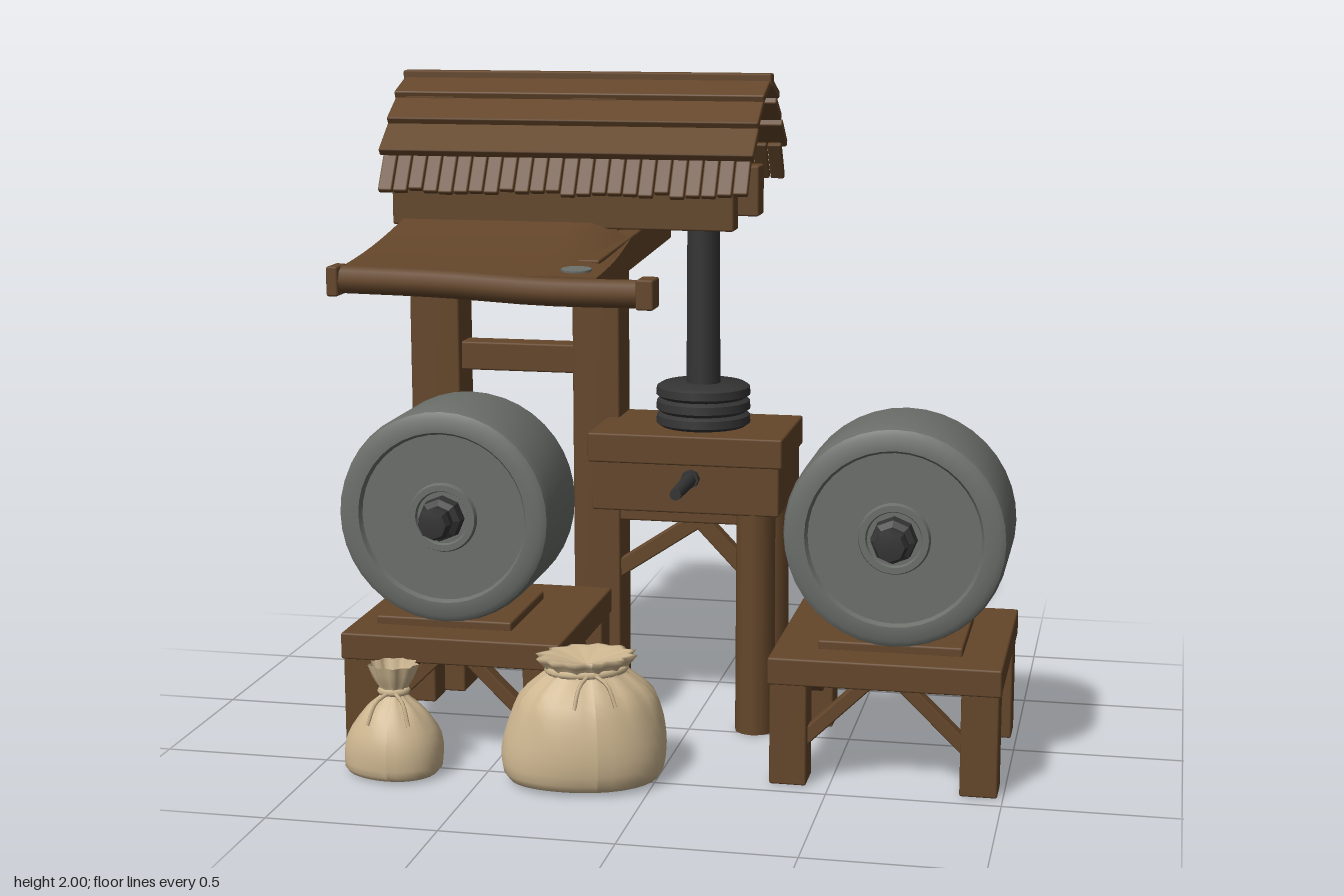
import * as THREE from 'three';
import { toCreasedNormals } from 'three/addons/utils/BufferGeometryUtils.js';
import { RoundedBoxGeometry } from 'three/addons/geometries/RoundedBoxGeometry.js';

const material = (name, color, extra = {}) => {
  const m = new THREE.MeshStandardMaterial({ color, ...extra });
  m.name = name;
  return m;
};
const V = (x, y, z) => new THREE.Vector3(x, y, z);

export function createModel() {
  const wood = material('brown wood', 0x64462a);
  const stone = material('grey stone', 0x6b6f6a);
  const iron = material('dark iron', 0x343435);
  const sackcloth = material('sackcloth', 0xcdb690, { side: THREE.DoubleSide });
  const model = new THREE.Group();
  model.name = 'mill';

  let seed = 7;
  const rand = () => (seed = (seed * 16807) % 2147483647) / 2147483647;

  const add = (parent, name, geo, mat, x = 0, y = 0, z = 0) => {
    const m = new THREE.Mesh(geo, mat);
    m.name = name;
    m.position.set(x, y, z);
    parent.add(m);
    return m;
  };
  // Box from its extents, with softly worn edges
  const block = (parent, name, [x0, x1], [y0, y1], [z0, z1], mat = wood) =>
    add(parent, name, new RoundedBoxGeometry(x1 - x0, y1 - y0, z1 - z0, 1, 0.006), mat,
      (x0 + x1) / 2, (y0 + y1) / 2, (z0 + z1) / 2);
  // Squared timber running from a to b
  const bar = (parent, name, a, b, w, h, mat = wood) => {
    const mid = a.clone().add(b).multiplyScalar(0.5);
    const m = add(parent, name, new RoundedBoxGeometry(w, h, a.distanceTo(b), 1, 0.005), mat, mid.x, mid.y, mid.z);
    m.lookAt(b);
    return m;
  };
  const lathe = (pts, seg, crease = 0.6) =>
    toCreasedNormals(new THREE.LatheGeometry(pts.map(p => new THREE.Vector2(...p)), seg), crease);

  // ---- Frame: posts, rafters, purlins, canopy arms ----
  const frame = new THREE.Group();
  frame.name = 'frame';
  model.add(frame);
  for (const [x0, x1] of [[-0.95, -0.79], [-0.42, -0.27]]) {
    block(frame, 'post', [x0, x1], [0, 1.93], [-0.38, -0.23]);
    const xm = (x0 + x1) / 2;
    for (const s of [-1, 1])
      bar(frame, 'rafter', V(xm, 1.87, -0.36 + s * 0.01), V(xm, 1.68, -0.36 + s * 0.25), 0.11, 0.12);
    bar(frame, 'canopyArm', V(x1 + 0.035, 1.495, -0.69), V(x1 + 0.035, 1.445, 0.31), 0.07, 0.1);
  }
  block(frame, 'crossBeam', [-0.8, -0.41], [1.06, 1.15], [-0.35, -0.26]);
  block(frame, 'frontPurlin', [-0.95, 0.12], [1.54, 1.7], [-0.16, -0.08]);
  block(frame, 'backPurlin', [-0.95, 0.12], [1.54, 1.7], [-0.62, -0.52]);

  // ---- Roof: overlapping board courses, with short shingles at the eaves ----
  const roof = new THREE.Group();
  roof.name = 'roof';
  model.add(roof);
  const slope = [[0, 1.985], [0.115, 1.925], [0.2, 1.85], [0.285, 1.76], [0.345, 1.65]];
  for (const s of [-1, 1]) {
    for (let i = 0; i < 3; i++) {
      const [d0, y0] = slope[i], [d1, y1] = slope[i + 1];
      bar(roof, 'roofBoard', V(-0.4, y0 - 0.012, -0.36 + s * d0),
        V(-0.4, y1 + 0.002, -0.36 + s * (d1 + 0.015)), 1.18 - rand() * 0.015, 0.026);
    }
    const [d0, y0] = slope[3], [d1, y1] = slope[4];
    const n = 24, step = 1.15 / n;
    for (let i = 0; i < n; i++) {
      const x = -0.975 + step * (i + 0.5), drop = rand() * 0.014;
      bar(roof, 'shingle', V(x, y0 + 0.005, -0.36 + s * (d0 - 0.015)),
        V(x, y1 - 0.008 + drop, -0.36 + s * (d1 - drop * 0.5)), step - 0.003, 0.022);
    }
  }
  block(roof, 'ridgeCap', [-0.99, 0.19], [1.965, 2.0], [-0.385, -0.335]);

  // ---- Canopy: drooping cloth with a front pole ----
  const canopy = new THREE.Group();
  canopy.name = 'canopy';
  model.add(canopy);
  const sheet = (thick, inset, drop) => {
    const g = new THREE.BoxGeometry(1, thick, 1, 12, 1, 8), p = g.attributes.position;
    for (let i = 0; i < p.count; i++) {
      const u = p.getX(i) + 0.5, v = p.getZ(i) + 0.5;
      const right = -0.2 + 0.05 * v - inset;
      const y = 1.55 - 0.085 * v - 0.012 * Math.sin(Math.PI * v) - 0.05 * Math.max(0, u - 0.85) / 0.15 * (1 - v);
      p.setXYZ(i, THREE.MathUtils.lerp(-0.915 + inset, right, u), y + p.getY(i) - drop, -0.1 + inset + (0.65 - 2 * inset) * v);
    }
    g.computeVertexNormals();
    return g;
  };
  add(canopy, 'canopyCloth', sheet(0.025, 0, 0), wood);
  add(canopy, 'canopyLining', sheet(0.008, 0.015, 0.016), stone);
  const patch = add(canopy, 'canopyPatch', new THREE.CylinderGeometry(0.045, 0.045, 0.006, 10), stone, -0.225, 1.489, 0.48);
  patch.scale.z = 0.8;
  patch.rotation.x = 0.1;
  const poleCurve = new THREE.CatmullRomCurve3([V(-0.92, 1.455, 0.555), V(-0.6, 1.45, 0.56), V(-0.3, 1.435, 0.555), V(0.01, 1.435, 0.55)]);
  add(canopy, 'canopyPole', new THREE.TubeGeometry(poleCurve, 10, 0.04, 8), wood);
  block(canopy, 'poleEnd', [-0.03, 0.02], [1.395, 1.48], [0.51, 0.595]);
  block(canopy, 'poleEnd', [-0.925, -0.89], [1.41, 1.495], [0.515, 0.6]);

  // ---- Press: box, round legs, braces, screw ----
  const press = new THREE.Group();
  press.name = 'press';
  model.add(press);
  block(press, 'pressTop', [-0.31, 0.29], [0.84, 0.93], [-0.38, 0.03]);
  block(press, 'pressBase', [-0.3, 0.28], [0.69, 0.845], [-0.375, 0.02]);
  for (const z of [-0.04, -0.3])
    add(press, 'pressLeg', new THREE.CylinderGeometry(0.06, 0.062, 0.7, 12), wood, 0.2, 0.35, z);
  bar(press, 'pressBrace', V(-0.3, 0.42, -0.27), V(0, 0.62, -0.27), 0.05, 0.05);
  bar(press, 'pressBrace', V(-0.03, 0.62, -0.27), V(0.18, 0.4, -0.27), 0.05, 0.05);
  bar(press, 'pressBrace', V(0.2, 0.36, -0.06), V(0.2, 0.61, -0.23), 0.05, 0.05);
  block(press, 'braceCleat', [-0.27, 0.16], [0.6, 0.695], [-0.3, -0.23]);
  add(press, 'screwShaft', new THREE.CylinderGeometry(0.05, 0.054, 0.74, 12), iron, 0.01, 1.29, -0.175);
  const coils = [[0, 0.93]];
  for (let i = 0; i < 3; i++) {
    const y = 0.93 + i * 0.044;
    coils.push([0.132, y], [0.146, y + 0.01], [0.144, y + 0.034], [0.13, y + 0.043]);
  }
  coils.push([0, 1.065]);
  add(press, 'screwCollar', lathe(coils, 24), iron, 0.01, 0, -0.175);
  const pin = add(press, 'pressPin', new THREE.CylinderGeometry(0.018, 0.022, 0.25, 8), iron, 0.01, 0.8, 0.125);
  pin.rotation.x = Math.PI / 2;
  const pinNut = add(press, 'pinNut', new THREE.CylinderGeometry(0.028, 0.028, 0.03, 8), iron, 0.01, 0.8, 0.03);
  pinNut.rotation.x = Math.PI / 2;

  // ---- Millstones standing on their tables ----
  const half = [[0.325, 0.14], [0.318, 0.168], [0.3, 0.18], [0.258, 0.18], [0.25, 0.165], [0.105, 0.165],
    [0.1, 0.178], [0.082, 0.178], [0.078, 0.168], [0, 0.168]];
  const wheelProfile = [...half.map(([r, z]) => [r, -z]).reverse(), ...half];
  const axleProfile = [[0, -0.345], [0.028, -0.34], [0.04, -0.315], [0.03, -0.29], [0.045, -0.28], [0.05, -0.245],
    [0.04, -0.235], [0.065, -0.215], [0.068, -0.165], [0.068, 0.165], [0.064, 0.205], [0.046, 0.215],
    [0.05, 0.25], [0.042, 0.275], [0, 0.28]];
  const mill = (tableX, wheelX) => {
    const g = new THREE.Group();
    g.name = 'millstoneTable';
    model.add(g);
    const cz = 0.115, leg = 0.275;
    block(g, 'tableTop', [tableX - 0.335, tableX + 0.335], [0.3, 0.38], [cz - 0.335, cz + 0.335]);
    block(g, 'wheelBed', [wheelX - 0.22, wheelX + 0.2], [0.375, 0.405], [-0.05, 0.33]);
    for (const sx of [-1, 1]) for (const sz of [-1, 1]) {
      const x = tableX + sx * leg, z = cz + sz * leg;
      block(g, 'tableLeg', [x - 0.054, x + 0.054], [0, 0.305], [z - 0.054, z + 0.054]);
      bar(g, 'tableBrace', V(x - sx * 0.03, 0.12, z), V(x - sx * 0.22, 0.305, z), 0.05, 0.04);
      bar(g, 'tableBrace', V(x, 0.12, z - sz * 0.03), V(x, 0.305, z - sz * 0.22), 0.05, 0.04);
    }
    const wheel = add(g, 'millstone', lathe(wheelProfile, 40), stone, wheelX, 0.722, 0.18);
    const axle = add(g, 'axle', lathe(axleProfile, 8, 0.3), iron, wheelX, 0.722, 0.18);
    wheel.rotation.x = axle.rotation.x = Math.PI / 2;
  };
  mill(-0.63, -0.673);
  mill(0.655, 0.668);

  // ---- Grain sacks: lathe bodies gathered into folds at the tied neck ----
  const sack = (name, profile, folds, sx, sz, x, z, turn, neckY, neckR) => {
    const curve = new THREE.SplineCurve(profile.map(p => new THREE.Vector2(...p)));
    const pts = curve.getPoints(22).map(p => new THREE.Vector2(Math.max(0, p.x), Math.max(0, p.y)));
    const geo = new THREE.LatheGeometry(pts, 36), p = geo.attributes.position;
    for (let i = 0; i < p.count; i++) {
      const a = Math.atan2(p.getX(i), p.getZ(i)), y = p.getY(i);
      const gather = THREE.MathUtils.smoothstep(y, neckY * 0.55, neckY);
      const k = 1 + gather * 0.09 * Math.sin(a * folds) + (1 - gather) * 0.04 * Math.sin(a * 3 + y * 9);
      p.setXYZ(i, p.getX(i) * k * sx, y, p.getZ(i) * k * sz);
    }
    geo.computeVertexNormals();
    const g = new THREE.Group();
    g.name = name;
    g.position.set(x, 0, z);
    g.rotation.y = turn;
    model.add(g);
    add(g, 'sackBody', geo, sackcloth);
    const tie = add(g, 'sackTie', new THREE.TorusGeometry(neckR, 0.011, 6, 24), sackcloth, 0, neckY, 0);
    tie.rotation.x = Math.PI / 2;
    tie.scale.set(sx, sz, 1);
    for (const s of [-1, 1]) {
      const end = new THREE.CatmullRomCurve3([V(s * 0.01, neckY, neckR * sz), V(s * 0.04, neckY - 0.02, neckR * sz + 0.035),
        V(s * 0.06, neckY - 0.08, neckR * sz + 0.06)]);
      add(g, 'tieEnd', new THREE.TubeGeometry(end, 6, 0.006, 5), sackcloth);
    }
  };
  sack('largeSack', [[0, 0], [0.19, 0.005], [0.23, 0.06], [0.225, 0.15], [0.19, 0.25], [0.13, 0.31], [0.105, 0.335],
    [0.135, 0.375], [0.08, 0.365], [0, 0.345]], 12, 1.04, 0.8, -0.2, 0.5, 0.4, 0.335, 0.108);
  sack('smallSack', [[0, 0], [0.125, 0.005], [0.145, 0.05], [0.135, 0.12], [0.09, 0.19], [0.045, 0.23], [0.035, 0.25],
    [0.055, 0.29], [0.07, 0.33]], 9, 1, 0.82, -0.765, 0.56, 0.1, 0.25, 0.038);

  return model;
}
